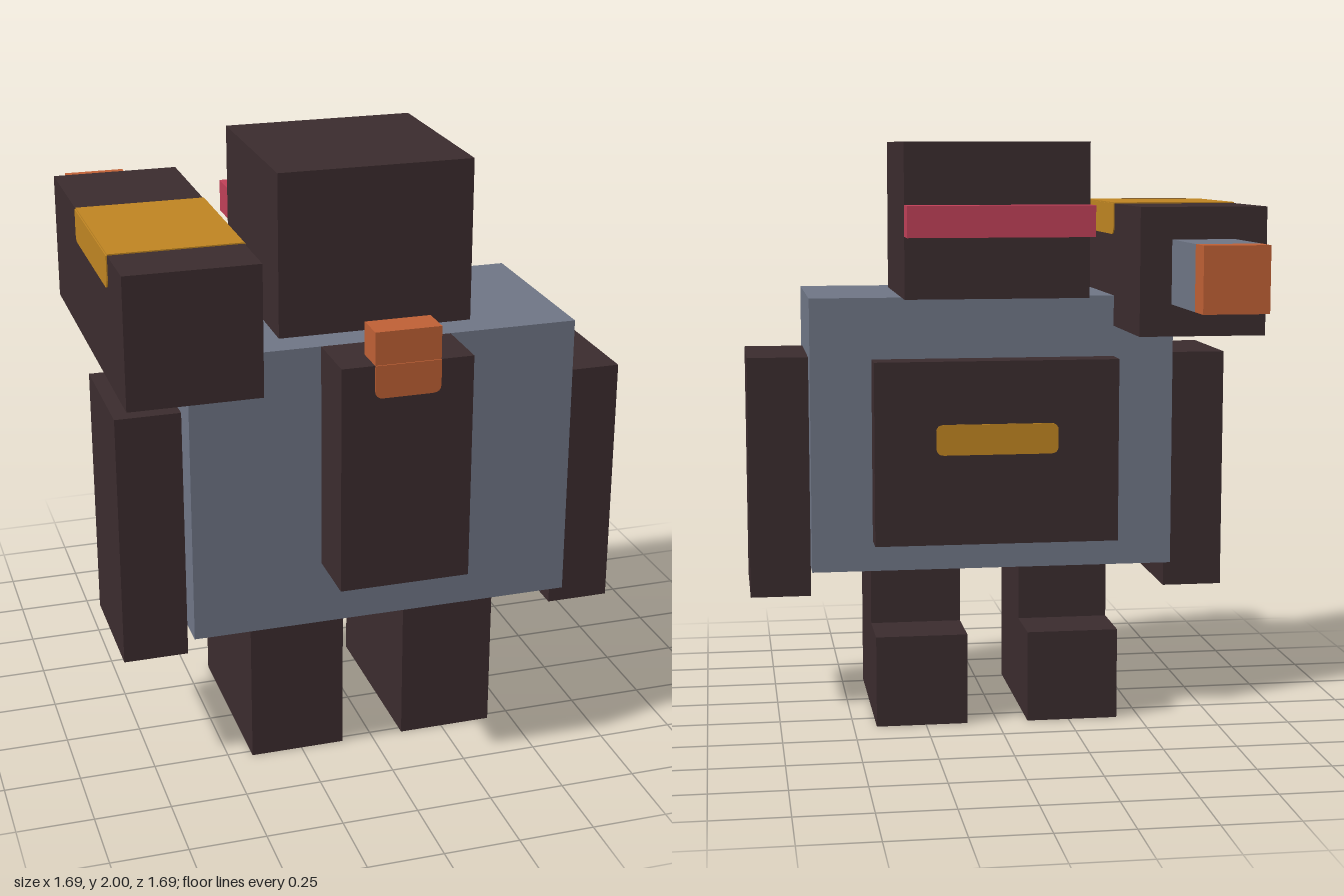
import * as THREE from 'three';

// One block unit: the figure is 19 blocks tall
const U = 2 / 19;
const T = 0.004; // thickness of painted plates

function material(name, color) {
  const m = new THREE.MeshStandardMaterial({ color });
  m.name = name;
  return m;
}

// Panel centred on its face, with bottom corners (and optionally top ones) rounded
function panelGeometry(w, h, bottom, top) {
  const x = w / 2, y = h / 2;
  const s = new THREE.Shape();
  s.moveTo(-x + bottom, -y);
  s.lineTo(x - bottom, -y);
  s.quadraticCurveTo(x, -y, x, -y + bottom);
  s.lineTo(x, y - top);
  s.quadraticCurveTo(x, y, x - top, y);
  s.lineTo(-x + top, y);
  s.quadraticCurveTo(-x, y, -x, y - top);
  s.lineTo(-x, -y + bottom);
  s.quadraticCurveTo(-x, -y, -x + bottom, -y);
  return new THREE.ExtrudeGeometry(s, { depth: T, bevelEnabled: false, curveSegments: 4 });
}

export function createModel() {
  const dark = material('darkBrown', 0x3b2c2e);
  const grey = material('slateGrey', 0x6f7686);
  const orange = material('orange', 0xbf6035);
  const gold = material('gold', 0xbf8522);
  const red = material('crimson', 0xbf4058);

  const model = new THREE.Group();
  model.name = 'blockFigure';

  // Box from its limits in block units
  function block(name, mat, [x0, x1], [y0, y1], [z0, z1]) {
    const g = new THREE.BoxGeometry((x1 - x0) * U, (y1 - y0) * U, (z1 - z0) * U);
    const mesh = new THREE.Mesh(g, mat);
    mesh.name = name;
    mesh.position.set((x0 + x1) / 2 * U, (y0 + y1) / 2 * U, (z0 + z1) / 2 * U);
    model.add(mesh);
    return mesh;
  }

  // Painted panel, turned about y to face outwards
  function panel(name, mat, w, h, pos, turn, bottom = 0.25, top = 0) {
    const mesh = new THREE.Mesh(panelGeometry(w * U, h * U, bottom * U, top * U), mat);
    mesh.name = name;
    mesh.position.set(pos[0] * U, pos[1] * U, pos[2] * U);
    mesh.rotation.y = turn;
    model.add(mesh);
  }

  // Torso and head
  block('torso', grey, [-6, 6], [5, 14], [0, 6]);
  block('head', dark, [-3, 3], [14, 19], [-1, 5]);
  block('visor', red, [-3, 3], [16, 17], [-2, -1]);

  // Chest plate with its badge strip
  block('chestPlate', dark, [-4, 4], [6, 12], [-1, 0]);
  panel('chestStrip', gold, 4, 1, [0, 9.45, -1], Math.PI, 0.25, 0.25);

  // Pack with orange cap, painted down over its outer face
  block('pack', dark, [-2, 2], [7, 14], [6, 8]);
  block('packCap', orange, [-1, 1], [14, 15], [7, 8]);
  panel('packCapFace', orange, 2, 1, [0, 13.5, 8], 0);

  // Arms, legs and feet, mirrored
  for (const [side, s] of [['left', 1], ['right', -1]]) {
    const span = (a, b) => (s > 0 ? [a, b] : [-b, -a]);
    block(side + 'Arm', dark, span(6, 8), [4, 12], [1, 5]);
    block(side + 'Leg', dark, span(1, 4), [0, 5], [1, 5]);
    block(side + 'Foot', dark, span(1, 4), [0, 3], [-1, 1]);
  }

  // Shoulder cannon with gold band over the top and upper sides
  block('cannonBody', dark, [-8, -4], [13, 17], [-4, 7]);
  block('cannonBandTop', gold, [-8, -4], [17, 17 + T / U], [0, 5]);
  panel('cannonBandOuter', gold, 5, 1, [-8, 16.5, 2.5], -Math.PI / 2);
  panel('cannonBandInner', gold, 5, 1, [-4, 16.5, 2.5], Math.PI / 2);
  block('cannonBarrel', grey, [-7, -5], [14, 16], [-7, -4]);
  block('cannonMuzzle', orange, [-7, -5], [14, 16], [-8, -7]);

  return model;
}
